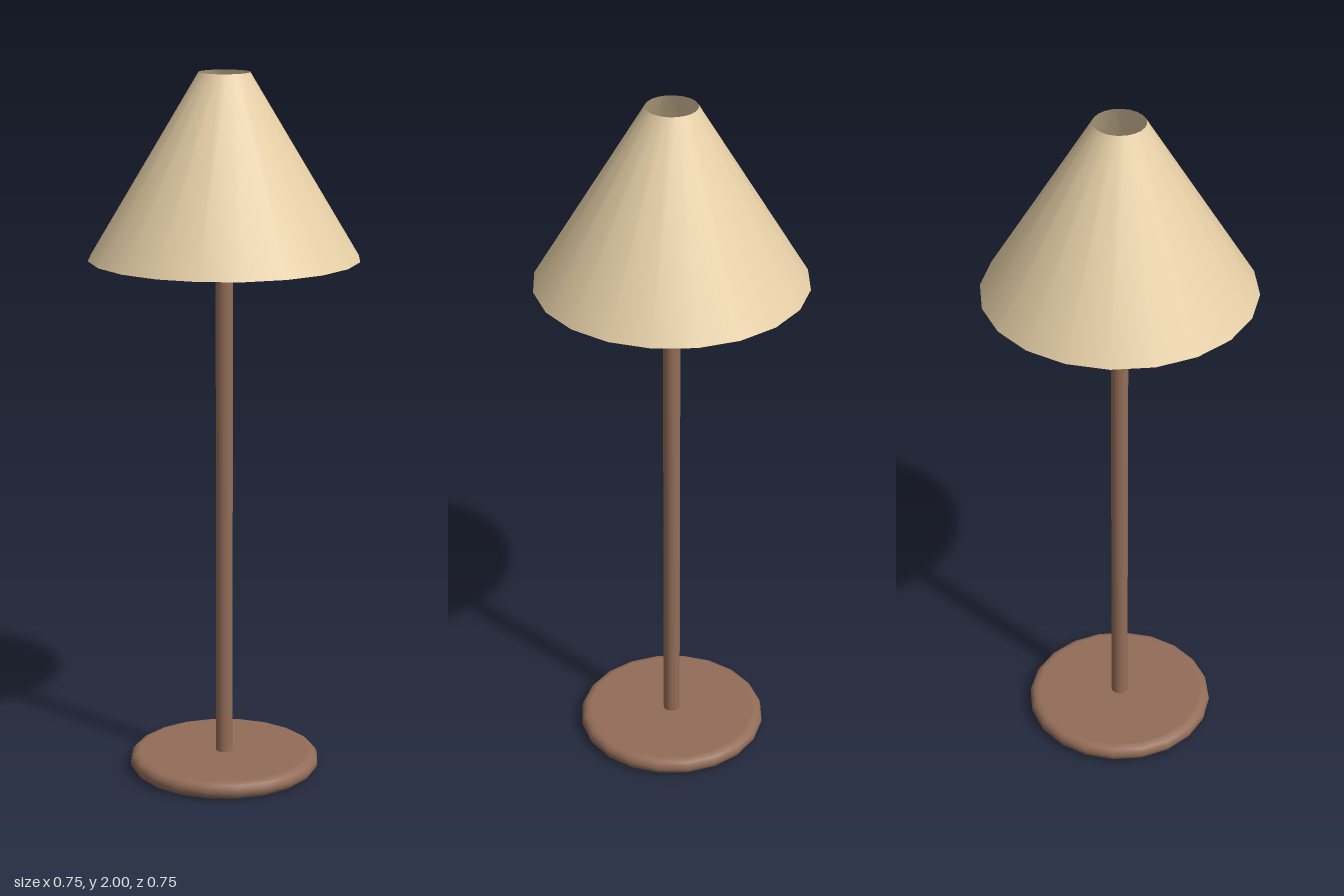
import * as THREE from 'three';

const SIDES = 20;

export function createModel() {
  const lamp = new THREE.Group();
  lamp.name = 'tableLamp';

  const material = (name, color, side = THREE.FrontSide) => {
    const m = new THREE.MeshStandardMaterial({ color, side });
    m.name = name;
    return m;
  };
  const wood = material('brown', 0x936d58);
  const fabric = material('cream', 0xe6cfa6, THREE.DoubleSide);
  const glow = material('yellow', 0xe8c010);

  const add = (name, geometry, mat, y) => {
    const mesh = new THREE.Mesh(geometry, mat);
    mesh.name = name;
    mesh.position.y = y;
    lamp.add(mesh);
  };

  // Round foot: flat faces joined by a half-round edge
  const radius = 0.272, half = 0.025, inner = radius - half;
  const edge = [];
  for (let i = 0; i <= 8; i++) {
    const a = -Math.PI / 2 + (i / 8) * Math.PI;
    edge.push(new THREE.Vector2(inner + half * Math.cos(a), half * Math.sin(a)));
  }
  add('baseEdge', new THREE.LatheGeometry(edge, SIDES), wood, half);
  for (const [name, y, turn] of [['baseTop', 2 * half, -1], ['baseBottom', 0, 1]]) {
    // Start each disc at +z so its corners meet the edge
    const disc = new THREE.CircleGeometry(inner, SIDES, Math.PI / 2).rotateX(turn * Math.PI / 2);
    add(name, disc, wood, y);
  }

  // Pole runs from the foot into the bulb
  const poleBottom = 0.03, poleTop = 1.56;
  add('pole', new THREE.CylinderGeometry(0.024, 0.024, poleTop - poleBottom, 16),
    wood, (poleBottom + poleTop) / 2);

  // Bulb
  add('bulb', new THREE.SphereGeometry(0.094, 20, 14), glow, 1.63);

  // Open conical shade
  add('shade', new THREE.CylinderGeometry(0.071, 0.377, 0.51, SIDES, 1, true), fabric, 1.745);

  return lamp;
}
